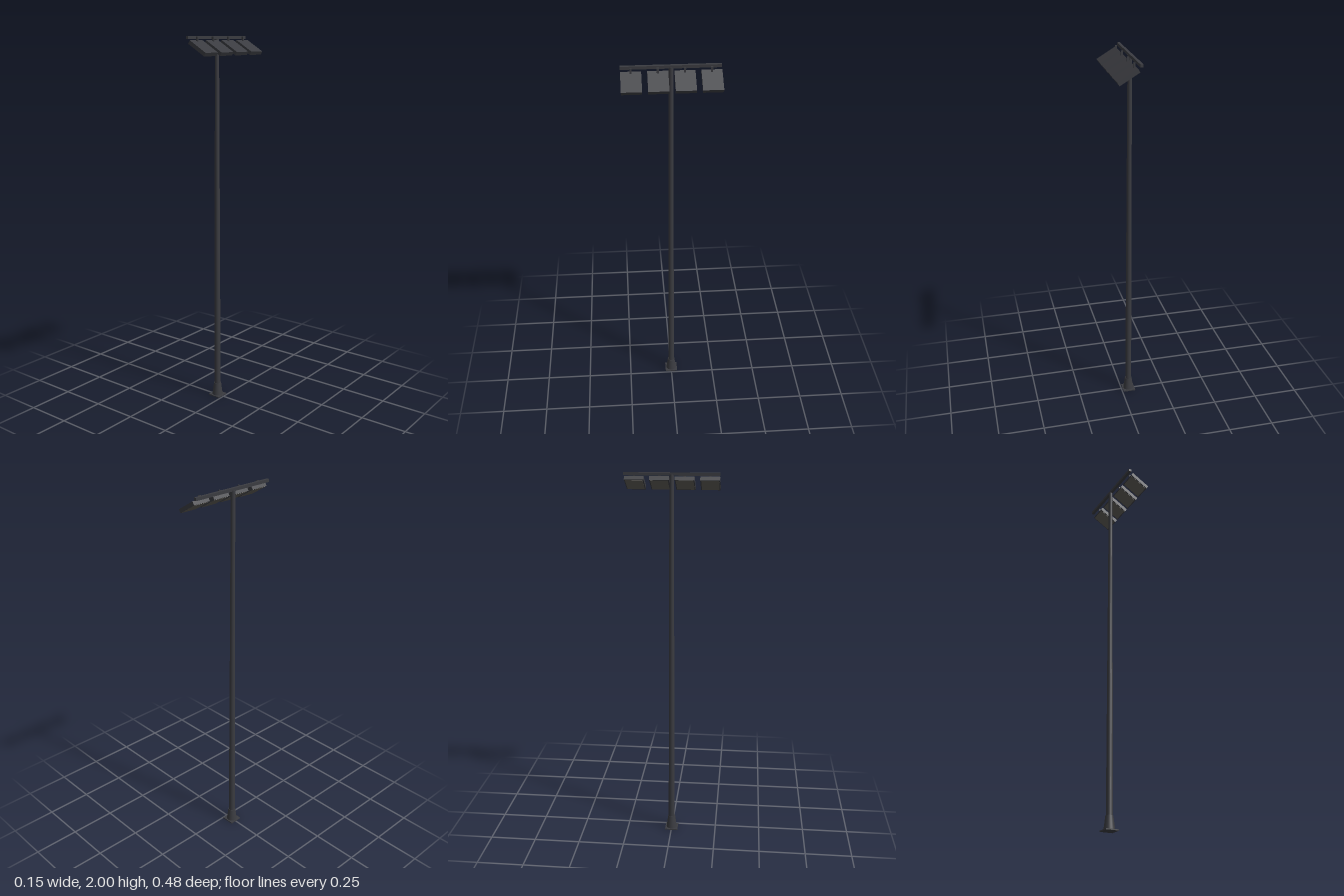
import * as THREE from 'three';

const POLE_X = -0.042;

export function createModel() {
  const group = new THREE.Group();
  const metal = new THREE.MeshStandardMaterial({ color: 0x3a3b40 });
  const glass = new THREE.MeshStandardMaterial({ color: 0x5c5a55 });

  const add = (parent, name, geometry, material, x, y, z) => {
    const mesh = new THREE.Mesh(geometry, material);
    mesh.name = name;
    mesh.position.set(x, y, z);
    parent.add(mesh);
    return mesh;
  };

  // Foot: square plate and flared collar
  add(group, 'basePlate', new THREE.BoxGeometry(0.07, 0.006, 0.07), metal, POLE_X, 0.003, 0);
  add(group, 'baseCollar', new THREE.CylinderGeometry(0.02, 0.029, 0.07, 24), metal, POLE_X, 0.041, 0);

  // Long tapered pole
  add(group, 'pole', new THREE.CylinderGeometry(0.011, 0.0175, 1.92, 24), metal, POLE_X, 1.03, 0);

  // Crossbar on top of the pole
  add(group, 'crossbar', new THREE.BoxGeometry(0.015, 0.015, 0.481), metal, POLE_X + 0.001, 1.9925, 0);

  // Four floodlights tilted down towards +x
  for (const z of [-0.1915, -0.0645, 0.0635, 0.1905]) {
    const lamp = new THREE.Group();
    lamp.name = 'floodlight';
    lamp.position.set(0, 0, z);
    const head = new THREE.Group();
    head.name = 'lampHead';
    head.position.set(0.0205, 1.9415, 0);
    head.rotation.z = -0.54;
    add(head, 'housing', new THREE.BoxGeometry(0.115, 0.02, 0.099), metal, 0, 0, 0);
    add(head, 'lens', new THREE.BoxGeometry(0.105, 0.002, 0.089), glass, 0, -0.0102, 0);
    lamp.add(head);
    add(lamp, 'lampBracket', new THREE.BoxGeometry(0.01, 0.032, 0.01), metal, -0.017, 1.981, 0);
    group.add(lamp);
  }
  return group;
}
